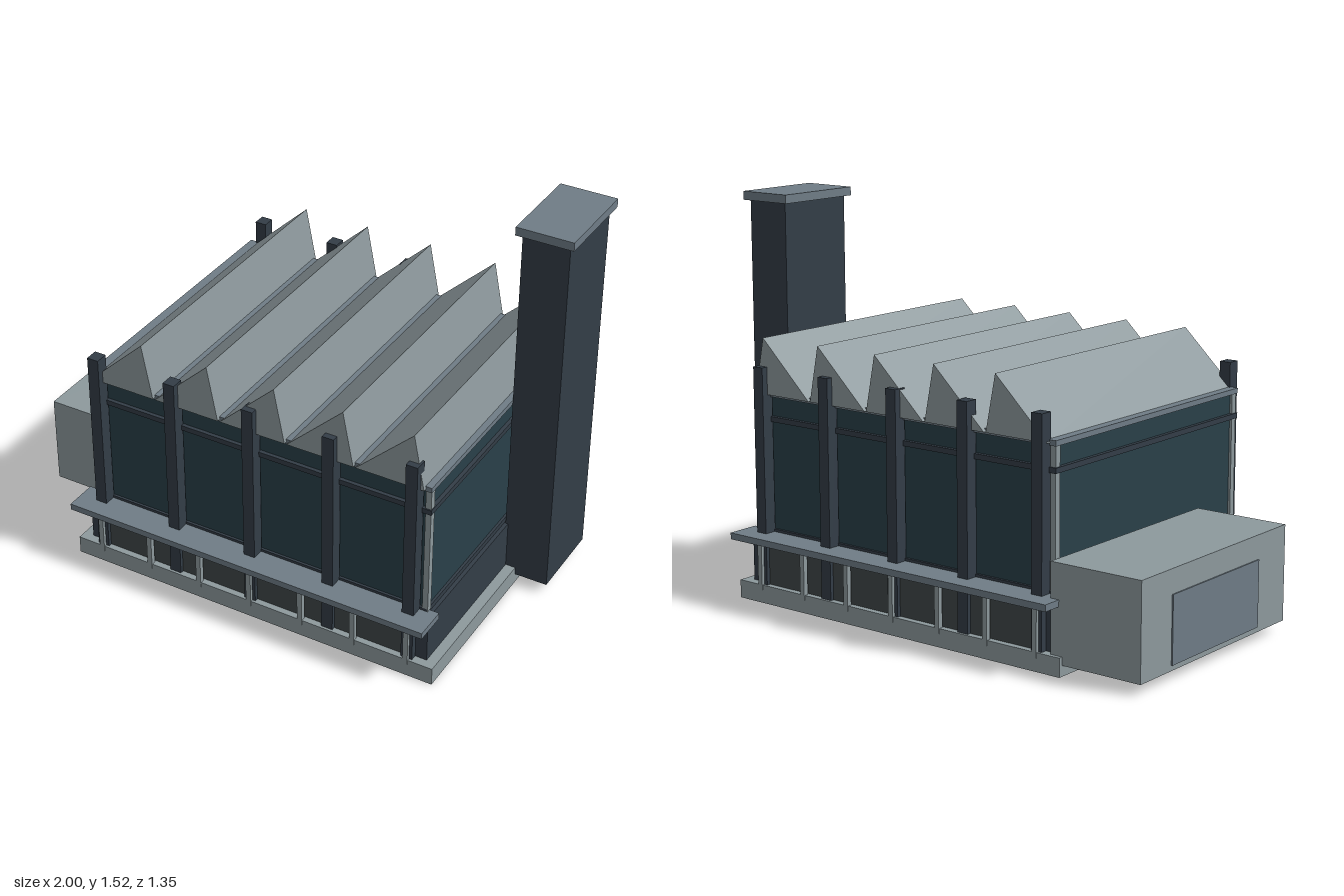
import * as THREE from 'three';

const material = (color) => new THREE.MeshStandardMaterial({ color, flatShading: true });

export function createModel() {
  const model = new THREE.Group();
  const concrete = material(0x8d999d);
  const trim = material(0x6f7c86);
  const dark = material(0x333d47);
  const glass = material(0x294049);
  const panel = material(0x404748);

  // Box given by its lower and upper corner
  function box(name, mat, [x0, y0, z0], [x1, y1, z1]) {
    const mesh = new THREE.Mesh(new THREE.BoxGeometry(x1 - x0, y1 - y0, z1 - z0), mat);
    mesh.position.set((x0 + x1) / 2, (y0 + y1) / 2, (z0 + z1) / 2);
    mesh.name = name;
    model.add(mesh);
  }

  // Same box on the front and, mirrored, on the back
  function boxPair(name, mat, [x0, y0, z0], [x1, y1, z1]) {
    box(name + 'Front', mat, [x0, y0, z0], [x1, y1, z1]);
    box(name + 'Back', mat, [x0, y0, -z1], [x1, y1, -z0]);
  }

  // Main hall
  box('plinth', concrete, [-0.67, 0, -0.615], [0.85, 0.07, 0.615]);
  box('groundFloor', dark, [-0.63, 0.07, -0.58], [0.81, 0.26, 0.58]);
  box('glazedHall', glass, [-0.6, 0.26, -0.55], [0.785, 0.79, 0.55]);
  box('lowerBand', dark, [-0.61, 0.26, -0.56], [0.795, 0.28, 0.56]);
  box('upperBand', dark, [-0.615, 0.695, -0.565], [0.8, 0.715, 0.565]);
  box('roofSlab', trim, [-0.615, 0.79, -0.565], [0.8, 0.81, 0.565]);
  for (const x of [-0.61, 0.775])
    boxPair('cornerPost', concrete, [x, 0.27, 0.535], [x + 0.022, 0.79, 0.56]);

  // Tall columns along both long walls
  for (let i = 0; i < 5; i++) {
    const x = -0.563 + i * 0.326;
    boxPair('column', dark, [x - 0.023, 0.04, 0.555], [x + 0.023, 0.905, 0.605]);
  }

  // Loading fronts with slim posts under a canopy
  boxPair('groundWindow', panel, [-0.57, 0.07, 0.57], [0.75, 0.245, 0.59]);
  boxPair('canopy', trim, [-0.655, 0.245, 0.545], [0.835, 0.27, 0.675]);
  for (let i = 0; i < 7; i++) {
    const x = -0.563 + i * 0.2175;
    boxPair('canopyPost', concrete, [x - 0.01, 0.05, 0.598], [x + 0.01, 0.245, 0.618]);
  }

  // Sawtooth roof
  const tooth = new THREE.Shape([
    new THREE.Vector2(-0.225, 0.8),
    new THREE.Vector2(0.042, 0.8),
    new THREE.Vector2(0, 1.013),
  ]);
  const toothGeometry = new THREE.ExtrudeGeometry(tooth, { depth: 1.16, bevelEnabled: false });
  for (let i = 0; i < 5; i++) {
    const mesh = new THREE.Mesh(toothGeometry, concrete);
    mesh.name = 'roofTooth';
    mesh.position.set(-0.365 + i * 0.275, 0, -0.58);
    model.add(mesh);
  }

  // Side annex with a wide door
  box('annex', concrete, [-0.995, 0.04, -0.6], [-0.62, 0.4, 0.3]);
  box('annexDoor', trim, [-1, 0.06, -0.42], [-0.98, 0.31, 0.12]);

  // Chimney
  box('chimney', dark, [0.8, 0.04, -0.38], [0.98, 1.49, -0.055]);
  box('chimneyCap', trim, [0.78, 1.49, -0.398], [1, 1.523, -0.037]);

  return model;
}
